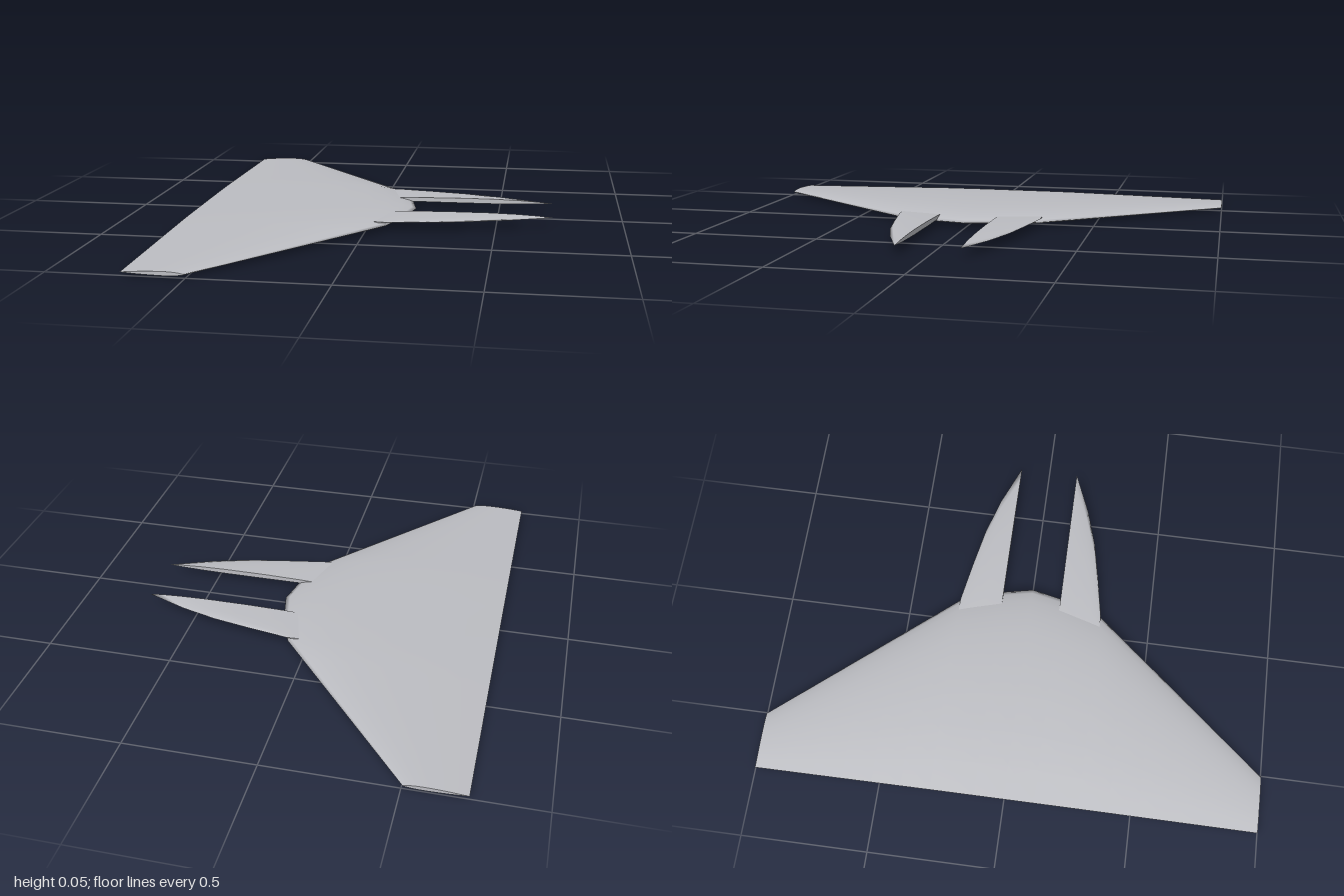
import * as THREE from 'three';

// Profiles run along the chord: [fraction from rear to front, height above, depth below]
const wingProfile = [
  [0, 0, 0], [0.15, 0.011, 0.009], [0.3, 0.02, 0.016], [0.48, 0.027, 0.021], [0.65, 0.03, 0.024],
  [0.78, 0.028, 0.022], [0.87, 0.023, 0.018], [0.94, 0.015, 0.012], [0.98, 0.007, 0.006], [1, 0, 0],
];
const prongProfile = [
  [0, 0, 0], [0.18, 0.006, 0.01], [0.4, 0.01, 0.01], [0.65, 0.011, 0.009],
  [0.8, 0.009, 0.007], [0.92, 0.005, 0.004], [1, 0, 0],
];

// Lofts a profile through span sections { z, rear, front, y, k }, ordered by rising z
function loft(profile, sections) {
  const rings = sections.map(({ z, rear, front, y, k }) => {
    const x = (s) => rear + (front - rear) * s;
    const upper = profile.map(([s, up]) => [x(s), y + up * k, z]);
    const lower = profile.slice(0, -1).reverse().map(([s, , down]) => [x(s), y - down * k, z]);
    return [...upper, ...lower];
  });
  const n = rings[0].length;
  const positions = rings.flat(2);
  const index = [];
  for (let i = 0; i < rings.length - 1; i++) {
    for (let j = 0; j < n - 1; j++) {
      const a = i * n + j, b = a + 1, c = a + n, d = c + 1;
      index.push(a, c, b, b, c, d);
    }
  }
  // End caps use their own vertices so their edges stay sharp
  const cap = (ring, flip) => {
    const start = positions.length / 3;
    positions.push(...ring.flat());
    for (let j = 1; j < n - 2; j++) {
      index.push(start, start + (flip ? j + 1 : j), start + (flip ? j : j + 1));
    }
  };
  cap(rings[0], false);
  cap(rings[rings.length - 1], true);

  const geometry = new THREE.BufferGeometry();
  geometry.setAttribute('position', new THREE.Float32BufferAttribute(positions, 3));
  geometry.setIndex(index);
  geometry.computeVertexNormals();
  return geometry;
}

const mirrored = (sections) => sections.map((s) => ({ ...s, z: -s.z })).reverse();

export function createModel() {
  const group = new THREE.Group();
  const hull = new THREE.MeshStandardMaterial({ color: 0xbcbdc2 });
  hull.name = 'paleGreyHull';
  const add = (name, geometry) => {
    const mesh = new THREE.Mesh(geometry, hull);
    mesh.name = name;
    group.add(mesh);
  };

  // Broad swept wing body with a blunt nose
  const outer = [];
  for (let i = 0; i <= 6; i++) {
    const t = i / 6;
    outer.push({
      z: 0.295 + 0.705 * t, rear: -0.73, front: 0.08 - 0.585 * t,
      y: 0.0235 - 0.0115 * t, k: 0.97 - 0.69 * t,
    });
  }
  const half = [{ z: 0.12, rear: -0.73, front: 0.14, y: 0.024, k: 1 }, ...outer];
  const centre = { z: 0, rear: -0.73, front: 0.165, y: 0.024, k: 1 };
  add('wingBody', loft(wingProfile, [...mirrored(half), centre, ...half]));

  // Pair of forward prongs with flat inner faces and curved outer edges
  const prong = [[0.12, 0.72, 1], [0.19, 0.55, 0.8], [0.235, 0.4, 0.6], [0.265, 0.25, 0.4], [0.295, 0.08, 0.2]]
    .map(([z, front, k]) => ({ z, rear: 0, front, y: 0.036, k }));
  add('rightProng', loft(prongProfile, prong));
  add('leftProng', loft(prongProfile, mirrored(prong)));

  return group;
}
